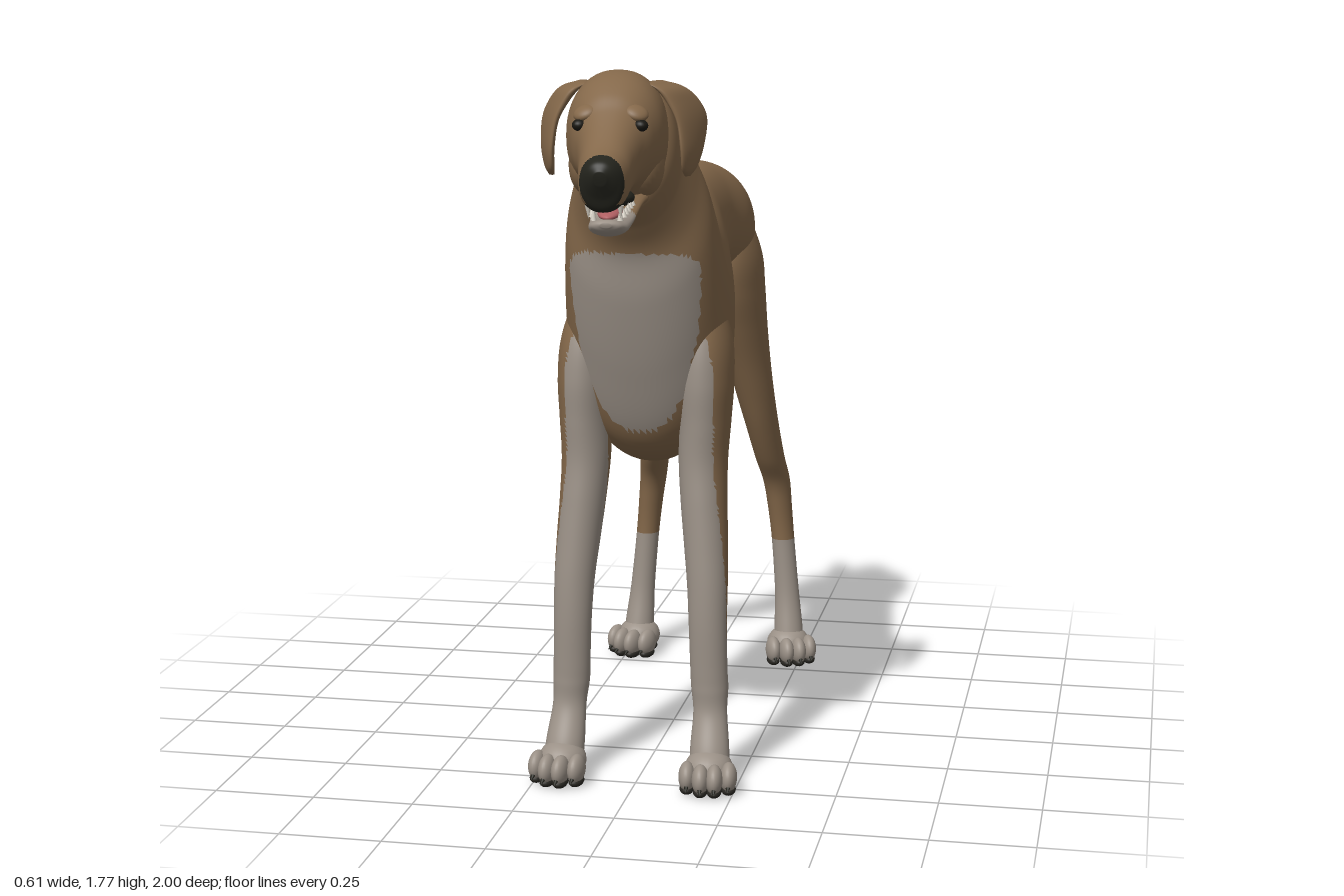
import * as THREE from 'three';

const mat = (name, color) => {
  const m = new THREE.MeshStandardMaterial({ color });
  m.name = name;
  return m;
};
const coat = mat('brown coat', 0x84684a);
const pale = mat('pale fur', 0x9b9187);
const dark = mat('nose black', 0x24241d);
const eyeMat = mat('eye', 0x1a1813);
const pink = mat('tongue pink', 0xb05f62);
const ivory = mat('teeth', 0xd6d0c4);
const padMat = mat('paw pad', 0x2a2823);
const skin = mat('bare skin', 0x85766a);

// Smooth skin through rings [centre, u, v]; paint(x, y, z) picks the material index.
function loft(name, rings, materials, paint = () => 0, steps = 60, seg = 40, power = 1) {
  const curves = [0, 1, 2].map(k => new THREE.CatmullRomCurve3(
    rings.map(r => new THREE.Vector3(...r[k])), false, 'catmullrom', 0.5));
  const pts = [];
  const round = t => Math.sign(t) * Math.abs(t) ** power;
  for (let i = 0; i <= steps; i++) {
    const [c, u, v] = curves.map(k => k.getPoint(i / steps));
    for (let j = 0; j < seg; j++) {
      const a = j / seg * Math.PI * 2;
      pts.push(c.clone().addScaledVector(u, round(Math.cos(a))).addScaledVector(v, round(Math.sin(a))));
    }
  }
  const first = pts.push(curves[0].getPoint(0)) - 1, last = pts.push(curves[0].getPoint(1)) - 1;
  const faces = materials.map(() => []);
  const tri = (a, b, c) => {
    const m = pts[a].clone().add(pts[b]).add(pts[c]).divideScalar(3);
    faces[paint(m.x, m.y, m.z)].push(a, b, c);
  };
  for (let j = 0; j < seg; j++) {
    const k = (j + 1) % seg;
    for (let i = 0; i < steps; i++) {
      const a = i * seg;
      tri(a + j, a + k, a + seg + j);
      tri(a + k, a + seg + k, a + seg + j);
    }
    tri(first, k, j);
    tri(last, steps * seg + j, steps * seg + k);
  }
  const g = new THREE.BufferGeometry().setFromPoints(pts);
  g.setIndex(faces.flat());
  let start = 0;
  faces.forEach((f, i) => { g.addGroup(start, f.length, i); start += f.length; });
  g.computeVertexNormals();
  const mesh = new THREE.Mesh(g, materials);
  mesh.name = name;
  return mesh;
}

// Ring spanning a top and a bottom point of the side profile: [topZ, topY, bottomZ, bottomY, halfWidth]
const profile = ([tz, ty, bz, by, w], x = 0) =>
  [[x, (ty + by) / 2, (tz + bz) / 2], [w, 0, 0], [0, (ty - by) / 2, (tz - bz) / 2]];
// Level ring for limbs: [x, y, z, halfX, halfZ]
const level = s => ([x, y, z, hx, hz]) => [[s * x, y, z], [0, 0, hz], [hx, 0, 0]];

function ball(parent, name, material, pos, scale, rot = [0, 0, 0]) {
  const m = new THREE.Mesh(new THREE.SphereGeometry(1, 24, 16), material);
  m.name = name;
  m.position.set(...pos);
  m.scale.set(...scale);
  m.rotation.set(...rot);
  parent.add(m);
}

function cone(parent, name, material, pos, r, h, rotX) {
  const m = new THREE.Mesh(new THREE.ConeGeometry(r, h, 10), material);
  m.name = name;
  m.position.set(...pos);
  m.rotation.x = rotX;
  parent.add(m);
}

// Paw with four toes, claws and dark pads
function paw(name, x, z, yaw) {
  const g = new THREE.Group();
  g.name = name;
  ball(g, 'pawBody', pale, [0, 0.052, -0.012], [0.06, 0.048, 0.06]);
  ball(g, 'heelPad', padMat, [0, 0.018, -0.02], [0.05, 0.018, 0.045]);
  for (const i of [-1.5, -0.5, 0.5, 1.5]) {
    const tz = 0.05 - (Math.abs(i) - 0.5) * 0.022;
    ball(g, 'toe', pale, [i * 0.034, 0.044, tz], [0.021, 0.037, 0.038], [0.3, 0, 0]);
    ball(g, 'toePad', padMat, [i * 0.034, 0.014, tz], [0.018, 0.014, 0.03]);
    cone(g, 'claw', dark, [i * 0.034, 0.024, tz + 0.036], 0.008, 0.026, 2.1);
  }
  g.position.set(x, 0, z);
  g.rotation.y = yaw;
  return g;
}

function makeHead() {
  const pivot = new THREE.Group(), h = new THREE.Group();
  pivot.name = 'head';
  h.name = 'headParts';
  pivot.position.set(-0.012, 0, 0.55);
  pivot.rotation.y = 0.09;
  h.position.z = -0.55;
  pivot.add(h);

  // Skull and muzzle, with black nose and lip edge
  h.add(loft('skullAndMuzzle', [
    [0.50, 1.69, 0.56, 1.47, 0.08], [0.57, 1.75, 0.62, 1.47, 0.105], [0.65, 1.768, 0.66, 1.47, 0.115],
    [0.72, 1.758, 0.72, 1.485, 0.112], [0.78, 1.725, 0.77, 1.50, 0.095], [0.82, 1.688, 0.82, 1.50, 0.076],
    [0.87, 1.65, 0.87, 1.487, 0.064], [0.92, 1.618, 0.92, 1.475, 0.058], [0.96, 1.602, 0.953, 1.48, 0.05],
    [0.985, 1.59, 0.97, 1.51, 0.036], [0.997, 1.57, 0.988, 1.54, 0.014],
  ].map(r => profile(r)), [coat, dark],
  (x, y, z) => (z > 0.957 || (z > 0.77 && y < 1.495) ? 1 : 0), 80, 48, 0.9));

  // Open lower jaw
  h.add(loft('lowerJaw', [
    [0.66, 1.50, 0.65, 1.45, 0.07], [0.72, 1.485, 0.71, 1.45, 0.062], [0.79, 1.457, 0.78, 1.42, 0.05],
    [0.85, 1.452, 0.845, 1.41, 0.045], [0.882, 1.452, 0.88, 1.422, 0.034], [0.895, 1.446, 0.893, 1.435, 0.012],
  ].map(r => profile(r)), [coat, pale], (x, y, z) => (z > 0.765 ? 1 : 0), 40, 32));
  ball(h, 'tongue', pink, [0, 1.462, 0.81], [0.028, 0.012, 0.068], [0.12, 0, 0]);
  ball(h, 'mouthLining', dark, [0, 1.488, 0.765], [0.05, 0.022, 0.06]);

  for (const s of [1, -1]) {
    ball(h, 'eye', eyeMat, [s * 0.068, 1.655, 0.806], [0.017, 0.014, 0.02], [0, s * 0.6, 0]);
    ball(h, 'brow', coat, [s * 0.058, 1.682, 0.795], [0.028, 0.014, 0.026], [0.5, 0, s * -0.3]);
    ball(h, 'cheek', coat, [s * 0.07, 1.555, 0.69], [0.04, 0.07, 0.07]);
    cone(h, 'upperFang', ivory, [s * 0.036, 1.474, 0.915], 0.008, 0.03, Math.PI);
    cone(h, 'lowerFang', ivory, [s * 0.03, 1.465, 0.872], 0.007, 0.032, 0);
    for (let i = 0; i < 5; i++) {
      cone(h, 'lowerTooth', ivory, [s * (0.036 + i * 0.002), 1.464 + i * 0.004, 0.85 - i * 0.022], 0.008, 0.02, 0);
    }
    // Hanging ear flap: [y, x, z, half length, half thickness], listed from the tip up
    h.add(loft('ear', [
      [1.525, 0.158, 0.64, 0.012, 0.006], [1.545, 0.163, 0.642, 0.042, 0.010], [1.59, 0.168, 0.632, 0.066, 0.013],
      [1.65, 0.165, 0.607, 0.086, 0.015], [1.695, 0.143, 0.608, 0.082, 0.019], [1.725, 0.115, 0.622, 0.066, 0.02],
      [1.74, 0.08, 0.63, 0.045, 0.012],
    ].map(([y, x, z, l, t]) => [[s * x, y, z], [-s * l * 0.28, 0, l], [t, 0, s * t * 0.28]]), [coat], undefined, 30, 28));
  }
  return pivot;
}

export function createModel() {
  const dog = new THREE.Group();
  dog.name = 'dog';

  // Trunk and neck with a pale bib
  dog.add(loft('bodyAndNeck', [
    [-0.572, 1.27, -0.572, 1.19, 0.03], [-0.54, 1.35, -0.55, 1.13, 0.085], [-0.46, 1.412, -0.45, 1.10, 0.135],
    [-0.35, 1.452, -0.33, 1.12, 0.145], [-0.22, 1.47, -0.22, 1.14, 0.118], [-0.1, 1.465, -0.1, 1.05, 0.122],
    [0, 1.45, 0, 0.93, 0.15], [0.08, 1.438, 0.1, 0.815, 0.175], [0.16, 1.45, 0.2, 0.77, 0.188],
    [0.22, 1.475, 0.32, 0.78, 0.195], [0.27, 1.507, 0.42, 0.85, 0.198], [0.31, 1.54, 0.49, 1.02, 0.19],
    [0.35, 1.577, 0.54, 1.2, 0.175], [0.40, 1.635, 0.562, 1.32, 0.148], [0.46, 1.695, 0.6, 1.39, 0.125],
    [0.52, 1.737, 0.645, 1.45, 0.11], [0.58, 1.735, 0.66, 1.5, 0.08],
  ].map(r => profile(r)), [coat, pale],
  (x, y, z) => (y > 0.85 && y < 1.33 - 40 * Math.max(0, Math.abs(x) - 0.07) ** 3
    && z > 0.325 + 0.125 * y ? 1 : 0), 150, 96, 0.93));

  dog.add(makeHead());

  // Tail, from tip to root: [z, y, radius]
  dog.add(loft('tail', [
    [-1.0, 0.838, 0.008], [-0.965, 0.842, 0.024], [-0.85, 0.887, 0.043], [-0.75, 0.975, 0.046],
    [-0.68, 1.08, 0.047], [-0.62, 1.2, 0.048], [-0.565, 1.29, 0.05], [-0.49, 1.35, 0.04],
  ].map(([z, y, r], i) => {
    const a = Math.min(1.05, 0.15 + i * 0.22);
    return [[0.02, y, z], [r * 0.95, 0, 0], [0, r * Math.cos(a), -r * Math.sin(a)]];
  }), [coat], undefined, 50, 28));

  // Belly details
  ball(dog, 'bellySheath', coat, [0, 1.075, -0.165], [0.026, 0.032, 0.1], [-0.75 + Math.PI / 2, 0, 0]);
  ball(dog, 'groin', skin, [0, 1.11, -0.27], [0.04, 0.045, 0.05]);

  for (const s of [1, -1]) {
    const side = s > 0 ? 'left' : 'right';
    // Foreleg, pale along the front and below the elbow
    dog.add(loft(side + 'FrontLeg', [
      [0.185, 0.04, 0.495, 0.05, 0.045], [0.182, 0.1, 0.475, 0.048, 0.045], [0.178, 0.18, 0.447, 0.042, 0.037],
      [0.175, 0.24, 0.438, 0.046, 0.043], [0.173, 0.29, 0.44, 0.046, 0.042], [0.17, 0.4, 0.44, 0.047, 0.045],
      [0.167, 0.5, 0.43, 0.05, 0.052], [0.16, 0.6, 0.412, 0.054, 0.062], [0.152, 0.7, 0.395, 0.057, 0.07],
      [0.147, 0.8, 0.378, 0.06, 0.078], [0.15, 0.9, 0.368, 0.063, 0.092], [0.15, 1.0, 0.36, 0.068, 0.105],
      [0.145, 1.1, 0.345, 0.065, 0.108], [0.125, 1.22, 0.33, 0.045, 0.08],
    ].map(level(s)), [coat, pale],
    (x, y, z) => (y < 0.36 || z > 0.4 + 0.04 * y + 0.5 * (Math.abs(x) - 0.165) ? 1 : 0), 110, 48));
    dog.add(paw(side + 'FrontPaw', s * 0.186, 0.515, s * 0.12));

    // Hind leg with thigh, hock and pale lower part
    dog.add(loft(side + 'HindLeg', [
      [0.22, 0.04, -0.59, 0.042, 0.045], [0.217, 0.1, -0.603, 0.04, 0.042], [0.21, 0.2, -0.615, 0.034, 0.035],
      [0.197, 0.35, -0.62, 0.032, 0.036], [0.187, 0.45, -0.618, 0.034, 0.044], [0.178, 0.525, -0.612, 0.037, 0.057],
      [0.165, 0.6, -0.57, 0.04, 0.064], [0.15, 0.7, -0.525, 0.045, 0.07], [0.135, 0.8, -0.487, 0.052, 0.074],
      [0.12, 0.9, -0.462, 0.059, 0.09], [0.107, 1.0, -0.44, 0.066, 0.112], [0.095, 1.1, -0.425, 0.073, 0.138],
      [0.085, 1.2, -0.415, 0.074, 0.145], [0.07, 1.32, -0.4, 0.05, 0.1],
    ].map(level(s)), [coat, pale], (x, y) => (y < 0.35 ? 1 : 0), 90, 40));
    dog.add(paw(side + 'HindPaw', s * 0.222, -0.582, s * 0.35));
  }
  return dog;
}
